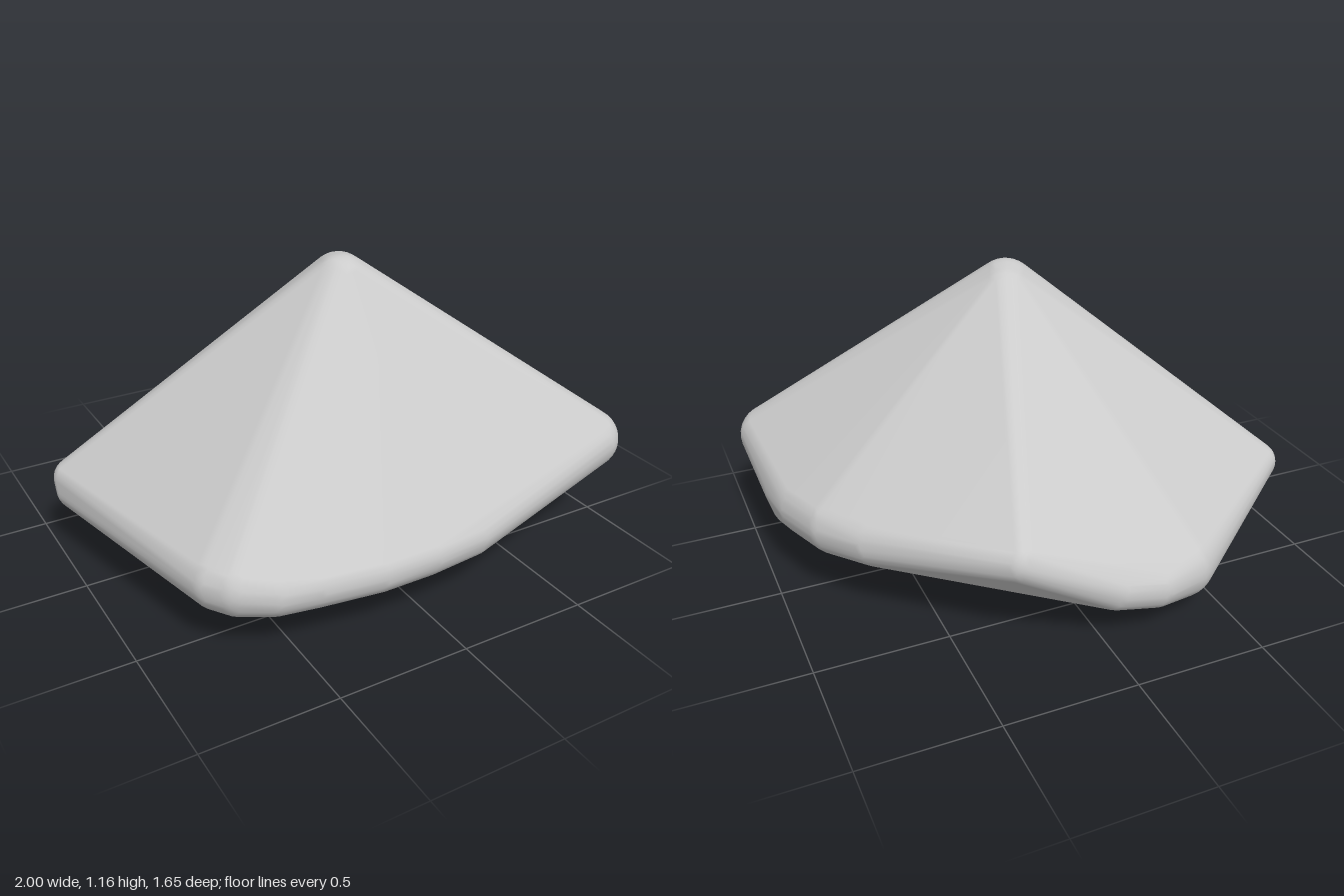
import * as THREE from 'three';
import { ConvexGeometry } from 'three/addons/geometries/ConvexGeometry.js';
import { mergeVertices } from 'three/addons/utils/BufferGeometryUtils.js';

// Rounded corners of the boulder: x, y, z, radius
const CORNERS = [
  [0.01, 1.04, 0.13, 0.12],    // peak
  [0.03, 1.04, 0.08, 0.11],
  [-0.92, 0.30, -0.29, 0.08],  // left tip
  [-0.92, 0.26, -0.27, 0.08],
  [-0.80, 0.22, -0.24, 0.10],
  [-0.69, 0.26, 0.53, 0.12],   // front corner on the -x side
  [-0.65, 0.26, 0.59, 0.12],
  [-0.55, 0.25, 0.65, 0.11],
  [-0.42, 0.25, 0.69, 0.10],   // front edge
  [-0.20, 0.25, 0.72, 0.10],
  [0.00, 0.255, 0.725, 0.10],
  [0.20, 0.26, 0.71, 0.10],
  [0.88, 0.39, 0.57, 0.12],    // front corner on the +x side
  [0.85, 0.31, 0.25, 0.13],    // curved side
  [0.83, 0.31, 0.10, 0.13],
  [0.77, 0.32, -0.08, 0.13],
  [0.67, 0.33, -0.24, 0.12],
  [0.29, 0.39, -0.67, 0.09],   // back corner
  [-0.05, 0.23, -0.725, 0.10], // back edge
  [-0.20, 0.20, -0.73, 0.10],
  [-0.34, 0.20, -0.655, 0.14],
  [0.63, 0.18, 0.27, 0.18],    // lowest bulge
  [0.85, 0.24, 0.25, 0.11],
];

// Evenly spread points on a sphere
function spherePoints([x, y, z, r], count = 320) {
  const points = [];
  for (let i = 0; i < count; i++) {
    const h = 1 - (2 * (i + 0.5)) / count;
    const s = Math.sqrt(1 - h * h);
    const a = i * Math.PI * (3 - Math.sqrt(5));
    points.push(new THREE.Vector3(x + r * s * Math.cos(a), y + r * h, z + r * s * Math.sin(a)));
  }
  return points;
}

export function createModel() {
  const group = new THREE.Group();
  group.name = 'rock';

  // Hull around all rounded corners, welded for smooth normals
  const hull = new ConvexGeometry(CORNERS.flatMap((c) => spherePoints(c)));
  hull.deleteAttribute('normal');
  const geometry = mergeVertices(hull, 1e-5);
  geometry.computeVertexNormals();

  // Centre it and stand it on the ground
  geometry.computeBoundingBox();
  const box = geometry.boundingBox;
  const centre = box.getCenter(new THREE.Vector3());
  geometry.translate(-centre.x, -box.min.y, -centre.z);

  const boulder = new THREE.Mesh(geometry, new THREE.MeshStandardMaterial({ color: 0xcccccc }));
  boulder.name = 'boulder';
  group.add(boulder);
  return group;
}
